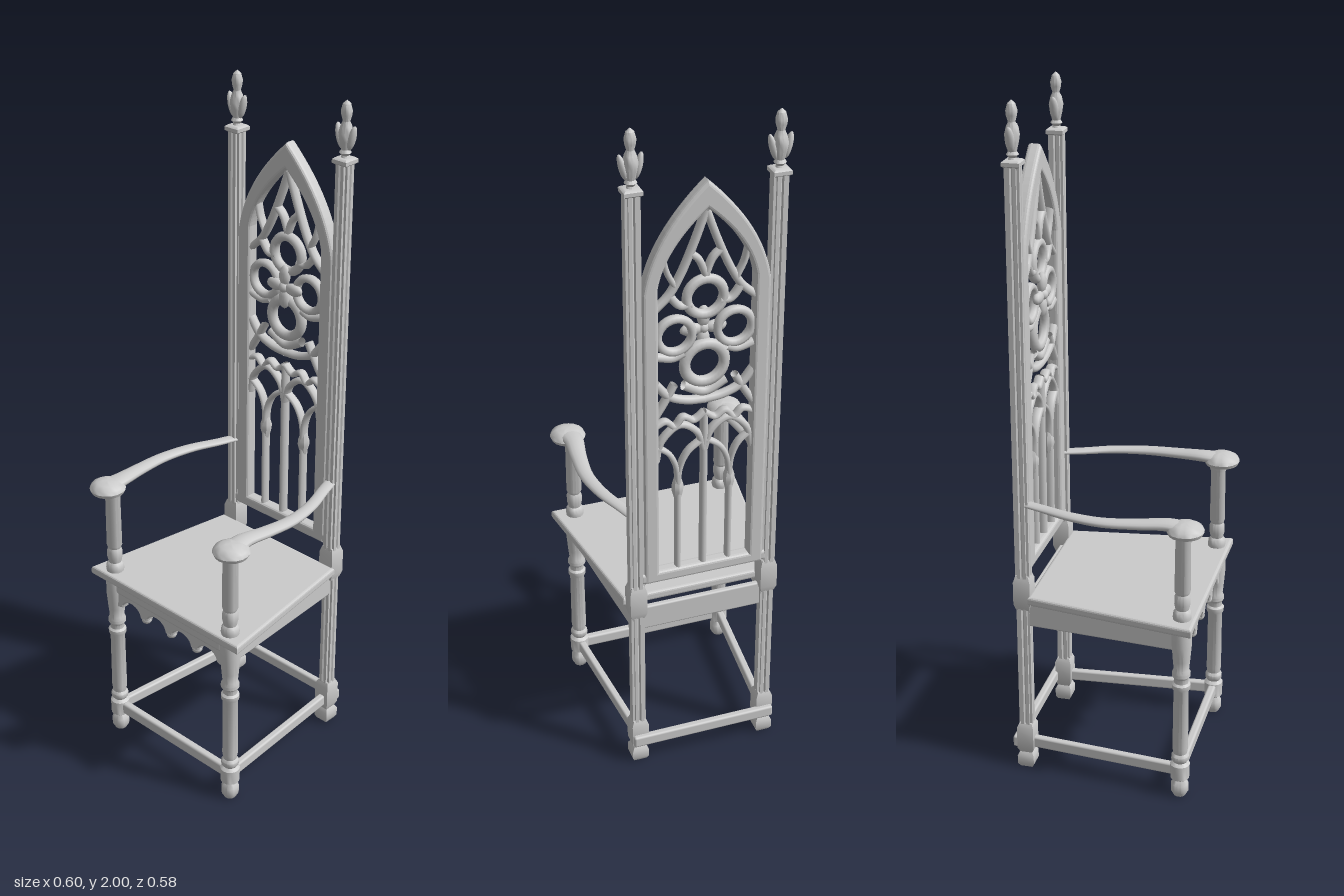
import * as THREE from 'three';
import { RoundedBoxGeometry } from 'three/addons/geometries/RoundedBoxGeometry.js';
import { ParametricGeometry } from 'three/addons/geometries/ParametricGeometry.js';
import { toCreasedNormals } from 'three/addons/utils/BufferGeometryUtils.js';

const mat = new THREE.MeshStandardMaterial({ color: 0xcccccc, side: THREE.DoubleSide });
const V = (x, y, z = 0) => new THREE.Vector3(x, y, z);

function add(parent, name, geo, x = 0, y = 0, z = 0) {
  const m = new THREE.Mesh(geo, mat);
  m.name = name;
  m.position.set(x, y, z);
  parent.add(m);
  return m;
}
function lathe(profile, seg = 16) {
  return toCreasedNormals(new THREE.LatheGeometry(profile.map(p => new THREE.Vector2(p[0], p[1])), seg), 0.7);
}
// rounded beam between two points
function beam(parent, name, a, b, w, h) {
  const m = add(parent, name, new RoundedBoxGeometry(w, h, a.distanceTo(b), 2, Math.min(w, h) * 0.3));
  m.position.copy(a).lerp(b, 0.5);
  m.lookAt(b);
}
// square block with chamfered top and bottom
function block(parent, name, w, y0, y1, x, z, c = 0.012) {
  const r = w / Math.SQRT2;
  const geo = lathe([[0, y0], [r * 0.75, y0], [r, y0 + c], [r, y1 - c], [r * 0.75, y1], [0, y1]], 4);
  add(parent, name, geo.rotateY(Math.PI / 4), x, 0, z);
}

// square section with notched corners
function flutedSection(h, n) {
  const pts = [];
  for (let i = 0; i < 4; i++) {
    const c = new THREE.Vector2();
    for (const [x, y] of [[h, -h + n], [h, -0.004], [h - 0.004, 0], [h, 0.004], [h, h - n], [h - n, h - n]])
      pts.push(new THREE.Vector2(x, y).rotateAround(c, i * Math.PI / 2));
  }
  return new THREE.Shape(pts);
}
function shaft(parent, name, h, y0, y1, x, z) {
  const geo = new THREE.ExtrudeGeometry(flutedSection(h, h * 0.35), { depth: y1 - y0, bevelEnabled: false });
  add(parent, name, geo.rotateX(-Math.PI / 2), x, y0, z);
}

// pointed arch outline, standing on y0
function archPath(path, w, y0, spring, apex) {
  const my = spring + (apex - spring) * 0.52;
  path.moveTo(-w, y0);
  path.lineTo(w, y0);
  path.lineTo(w, spring);
  path.quadraticCurveTo(w * 0.86, my, 0, apex);
  path.quadraticCurveTo(-w * 0.86, my, -w, spring);
  path.closePath();
  return path;
}

function buildPost(s) {
  const g = new THREE.Group();
  g.name = 'backPost';
  const x = s * 0.197, z = -0.25;
  block(g, 'postFoot', 0.05, 0, 0.05, x, z);
  block(g, 'postBase', 0.05, 0.05, 0.15, x, z, 0.015);
  shaft(g, 'lowerShaft', 0.02, 0.13, 0.56, x, z);
  block(g, 'postBlock', 0.05, 0.53, 0.64, x, z, 0.02);
  shaft(g, 'upperShaft', 0.021, 0.62, 1.835, x, z);
  block(g, 'postCap', 0.05, 1.825, 1.845, x, z, 0.005);
  // flame-shaped finial with two side leaves
  add(g, 'finial', lathe([[0.014, 1.84], [0.01, 1.85], [0.017, 1.858], [0.012, 1.866], [0.018, 1.89], [0.021, 1.91],
    [0.016, 1.93], [0.01, 1.943], [0.015, 1.96], [0.016, 1.972], [0.011, 1.99], [0, 2]], 12), x, 0, z);
  for (const t of [-1, 1]) {
    const leaf = add(g, 'finialLeaf', new THREE.SphereGeometry(1, 10, 8), x + t * 0.021, 1.9, z);
    leaf.scale.set(0.01, 0.036, 0.013);
    leaf.rotation.z = -t * 0.25;
  }
  return g;
}

function buildFrontLeg(s) {
  const g = new THREE.Group();
  g.name = 'frontLeg';
  g.position.set(s * 0.237, 0, 0.226);
  add(g, 'turnedLeg', lathe([[0, 0], [0.018, 0], [0.026, 0.015], [0.026, 0.038], [0.018, 0.052], [0.028, 0.06], [0.029, 0.105],
    [0.02, 0.113], [0.026, 0.122], [0.026, 0.134], [0.02, 0.142], [0.023, 0.16], [0.022, 0.35], [0.027, 0.36], [0.027, 0.372],
    [0.021, 0.378], [0.021, 0.392], [0.027, 0.4], [0.027, 0.41], [0.022, 0.42], [0.025, 0.45], [0.029, 0.5], [0.029, 0.56]]));
  add(g, 'armSupport', lathe([[0.025, 0.575], [0.027, 0.59], [0.025, 0.605], [0.019, 0.612], [0.023, 0.63], [0.023, 0.65],
    [0.019, 0.66], [0.023, 0.67], [0.022, 0.83], [0.026, 0.84], [0.026, 0.86]]));
  return g;
}

function buildArm(s) {
  const g = new THREE.Group();
  g.name = 'armrest';
  const path = new THREE.CatmullRomCurve3([V(0.19, 0.86, -0.25), V(0.212, 0.86, -0.185), V(0.243, 0.861, -0.1),
    V(0.26, 0.862, 0), V(0.254, 0.866, 0.1), V(0.244, 0.87, 0.18), V(0.248, 0.866, 0.235)]);
  const sweep = (u, v, out) => {
    const p = path.getPoint(u), a = -v * Math.PI * 2;
    const w = 0.019 + 0.017 * u ** 3, h = 0.007 + 0.01 * u;
    out.set(s * p.x + Math.cos(a) * w, p.y + Math.sin(a) * h, p.z);
  };
  add(g, 'armSweep', new ParametricGeometry(sweep, 28, 14));
  add(g, 'armKnob', lathe([[0, -0.02], [0.03, -0.02], [0.048, -0.014], [0.053, -0.003], [0.048, 0.008],
    [0.032, 0.017], [0.015, 0.021], [0, 0.022]], 18), s * 0.248, 0.864, 0.234);
  return g;
}

function buildSeat() {
  const g = new THREE.Group();
  g.name = 'seat';
  const board = new THREE.Shape([[-0.292, -0.257], [0.292, -0.257], [0.222, 0.222], [-0.222, 0.222]].map(p => new THREE.Vector2(...p)));
  const geo = new THREE.ExtrudeGeometry(board, { depth: 0.012, bevelThickness: 0.008, bevelSize: 0.008, bevelSegments: 3 });
  add(g, 'seatBoard', geo.rotateX(-Math.PI / 2), 0, 0.562, 0);
  // side and back aprons
  for (const s of [-1, 1]) beam(g, 'sideApron', V(s * 0.237, 0.517, 0.22), V(s * 0.2, 0.515, -0.24), 0.018, 0.076);
  beam(g, 'backApron', V(-0.19, 0.516, -0.245), V(0.19, 0.516, -0.245), 0.018, 0.076);
  // front apron with a row of small arches
  const a = new THREE.Shape();
  const n = 4, step = 0.42 / n;
  a.moveTo(-0.22, 0.56);
  a.lineTo(-0.22, 0.465);
  for (let i = 0; i < n; i++) {
    const x = -0.21 + i * step;
    a.lineTo(x + 0.011, 0.47);
    a.bezierCurveTo(x + 0.016, 0.512, x + step - 0.016, 0.512, x + step - 0.011, 0.47);
  }
  a.lineTo(0.22, 0.465);
  a.lineTo(0.22, 0.56);
  add(g, 'frontApron', new THREE.ExtrudeGeometry(a, { depth: 0.02, bevelThickness: 0.004, bevelSize: 0.003, bevelSegments: 1 }), 0, 0, 0.216);
  beam(g, 'frontRail', V(-0.22, 0.535, 0.228), V(0.22, 0.535, 0.228), 0.036, 0.045);
  for (let i = 1; i < n; i++)
    add(g, 'pendant', new THREE.SphereGeometry(0.016, 10, 8).scale(1, 0.9, 1), -0.21 + i * step, 0.466, 0.226);
  return g;
}

function buildBack() {
  const g = new THREE.Group();
  g.name = 'backPanel';
  g.position.z = -0.252;
  const frame = archPath(new THREE.Shape(), 0.168, 0.653, 1.55, 1.83);
  frame.holes.push(archPath(new THREE.Path(), 0.142, 0.672, 1.565, 1.778));
  add(g, 'archFrame', new THREE.ExtrudeGeometry(frame, { depth: 0.018, bevelThickness: 0.011, bevelSize: 0.009, bevelSegments: 3, curveSegments: 16 }), 0, 0, -0.009);

  const rib = (name, pts, r) => add(g, name, new THREE.TubeGeometry(
    new THREE.CatmullRomCurve3(pts.map(p => V(p[0], p[1]))), pts.length * 5, r, 8).scale(1, 1, 0.015 / r));
  const ring = (x, y, R, r) => add(g, 'roseRing', new THREE.TorusGeometry(R, r, 8, 28).scale(1, 1, 0.015 / r), x, y, 0);

  rib('centreMullion', [[0, 0.66], [0, 1.17]], 0.011);
  for (const s of [-1, 1]) {
    const m = pts => pts.map(([x, y]) => [s * x, y]);
    // lancets
    rib('sideMullion', m([[0.075, 0.66], [0.075, 1.0]]), 0.009);
    add(g, 'mullionCapital', lathe([[0.008, 0.9], [0.017, 0.935], [0.017, 0.95], [0.008, 0.98]], 8), s * 0.075, 0, 0);
    rib('lancetArch', m([[0.075, 0.95], [0.08, 1.01], [0.1, 1.055], [0.136, 1.085]]), 0.008);
    rib('lancetArch', m([[0.075, 0.95], [0.068, 1.01], [0.045, 1.055], [0.004, 1.085]]), 0.008);
    rib('mainArch', m([[0.137, 1.04], [0.122, 1.1], [0.07, 1.142], [0.02, 1.11], [0, 1.05]]), 0.01);
    rib('crocket', m([[0.137, 1.15], [0.11, 1.16], [0.085, 1.14], [0.06, 1.165], [0.03, 1.15], [0, 1.17]]), 0.009);
    // ribs around the rose
    rib('roseFoot', m([[0.138, 1.18], [0.11, 1.225], [0.085, 1.27]]), 0.011);
    rib('roseRim', m([[0.138, 1.28], [0.1, 1.235], [0.05, 1.215], [0, 1.21]]), 0.012);
    rib('roseFlank', m([[0.136, 1.36], [0.09, 1.35], [0.06, 1.36]]), 0.012);
    ring(s * 0.083, 1.415, 0.048, 0.012);
    // upper gable
    rib('gable', m([[0, 1.76], [0.035, 1.665], [0.07, 1.585], [0.1, 1.535], [0.137, 1.5]]), 0.011);
    rib('gableCusp', m([[0.085, 1.56], [0.105, 1.6], [0.115, 1.64]]), 0.008);
    rib('innerGable', m([[0.042, 1.645], [0.02, 1.625], [0, 1.58]]), 0.01);
    rib('roseShoulder', m([[0.1, 1.535], [0.07, 1.5], [0.04, 1.5]]), 0.011);
  }
  ring(0, 1.515, 0.051, 0.014);
  ring(0, 1.32, 0.056, 0.016);
  rib('roseBase', [[-0.06, 1.262], [0, 1.235], [0.06, 1.262]], 0.014);

  // four-petalled boss
  for (let i = 0; i < 4; i++) {
    const a = i * Math.PI / 2;
    const p = add(g, 'bossPetal', new THREE.SphereGeometry(1, 10, 8), Math.cos(a) * 0.034, 1.418 + Math.sin(a) * 0.034, 0.012);
    p.scale.set(0.032, 0.018, 0.014);
    p.rotation.z = a;
  }
  add(g, 'bossCentre', new THREE.SphereGeometry(0.016, 12, 8), 0, 1.418, 0.014);
  return g;
}

export function createModel() {
  const root = new THREE.Group();
  root.name = 'highBackArmchair';
  root.add(buildSeat(), buildBack());
  for (const s of [-1, 1]) {
    root.add(buildPost(s), buildFrontLeg(s), buildArm(s));
    beam(root, 'sideStretcher', V(s * 0.237, 0.084, 0.226), V(s * 0.197, 0.084, -0.25), 0.022, 0.036);
  }
  beam(root, 'frontStretcher', V(-0.237, 0.084, 0.226), V(0.237, 0.084, 0.226), 0.024, 0.038);
  beam(root, 'backStretcher', V(-0.22, 0.084, -0.278), V(0.22, 0.084, -0.278), 0.022, 0.036);
  // lower back rail tying the panel to the posts
  beam(root, 'backRail', V(-0.19, 0.662, -0.252), V(0.19, 0.662, -0.252), 0.036, 0.034);
  return root;
}
